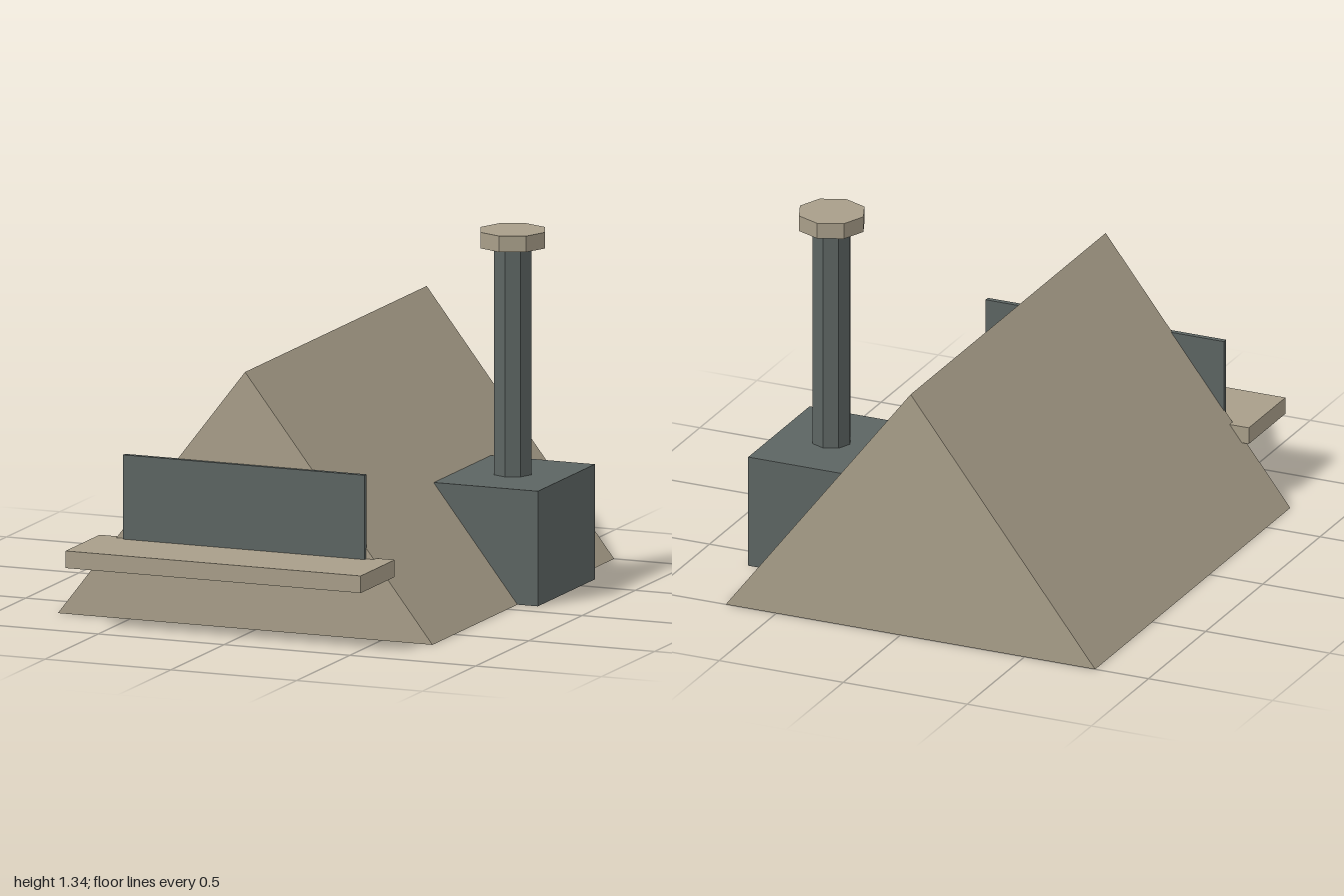
import * as THREE from 'three';

export function createModel() {
  const model = new THREE.Group();
  const tan = new THREE.MeshStandardMaterial({ color: 0xa89e89, flatShading: true });
  tan.name = 'tan';
  const slate = new THREE.MeshStandardMaterial({ color: 0x5c6462, flatShading: true });
  slate.name = 'slate';

  const add = (name, geometry, material, x = 0, y = 0, z = 0) => {
    const mesh = new THREE.Mesh(geometry, material);
    mesh.name = name;
    mesh.position.set(x, y, z);
    model.add(mesh);
  };
  // Box given by its lower and upper corners
  const box = (name, material, [x0, y0, z0], [x1, y1, z1]) =>
    add(name, new THREE.BoxGeometry(x1 - x0, y1 - y0, z1 - z0), material,
      (x0 + x1) / 2, (y0 + y1) / 2, (z0 + z1) / 2);
  // Eight-sided upright post on the chimney axis
  const post = (name, material, radius, y0, y1) =>
    add(name, new THREE.CylinderGeometry(radius, radius, y1 - y0, 8), material,
      0.572, (y0 + y1) / 2, -0.36);

  // Tent-shaped body
  const gable = new THREE.Shape([
    new THREE.Vector2(-0.785, 0),
    new THREE.Vector2(0.704, 0),
    new THREE.Vector2(-0.041, 0.96),
  ]);
  add('tentBody', new THREE.ExtrudeGeometry(gable, { depth: 1.706, bevelEnabled: false }), tan, 0, 0, -1);

  // Serving hatch and counter on the front
  box('hatchPanel', slate, [-0.52, 0.19, 0.7], [0.44, 0.615, 0.72]);
  box('counter', tan, [-0.63, 0.236, 0.68], [0.543, 0.3, 1]);

  // Stove with chimney and cap
  box('stove', slate, [0.372, 0, -0.628], [0.785, 0.43, -0.092]);
  post('chimneyPipe', slate, 0.074, 0.43, 1.28);
  post('chimneyCap', tan, 0.128, 1.28, 1.34);

  return model;
}
